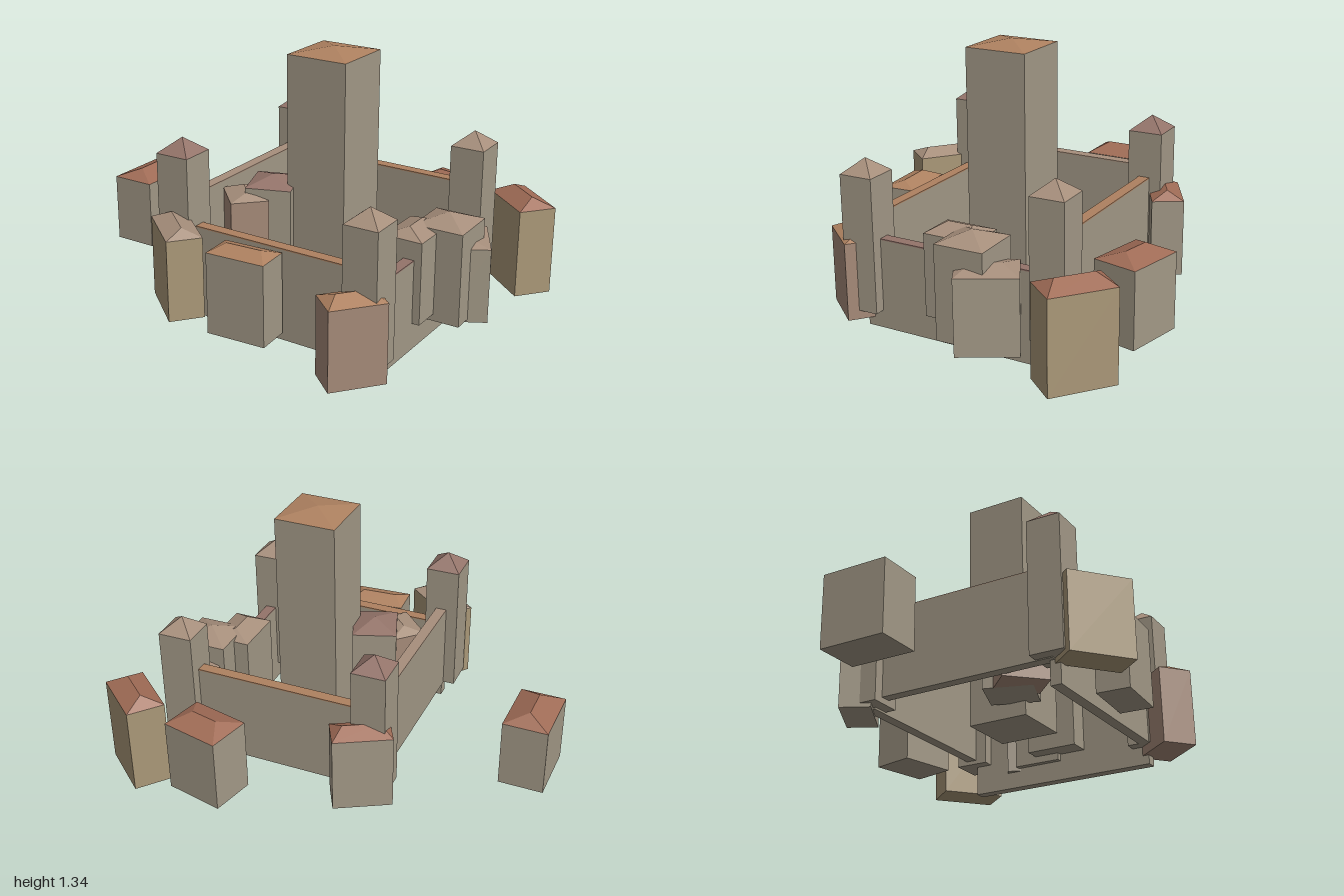
import * as THREE from 'three';

const mat = (color) => new THREE.MeshStandardMaterial({ color, flatShading: true });
const STONE = mat(0xa39987), TAN = mat(0xaa9878), PINK = mat(0xa58a78);
const ORANGE = mat(0xae8160), RED = mat(0xa06c56), MAUVE = mat(0x94746a), BEIGE = mat(0xa78f7c);

// Box narrowed to a ridge along its longer side (a point when ridge is 0)
function hipRoof(w, d, h, ridge) {
  const geo = new THREE.BoxGeometry(w, h, d).translate(0, h / 2, 0).toNonIndexed();
  const p = geo.attributes.position;
  for (let i = 0; i < p.count; i++) {
    if (p.getY(i) < h / 2) continue;
    p.setX(i, w > d ? Math.sign(p.getX(i)) * ridge / 2 : 0);
    p.setZ(i, w > d ? 0 : Math.sign(p.getZ(i)) * ridge / 2);
  }
  geo.computeVertexNormals();
  return geo;
}

// Block from base to eave with a hipped roof up to peak
function building(name, x, z, w, d, turn, base, eave, peak, wallMat, roofMat) {
  const g = new THREE.Group();
  g.name = name;
  g.position.set(x, 0, z);
  g.rotation.y = turn;
  const body = new THREE.Mesh(new THREE.BoxGeometry(w, eave - base, d), wallMat);
  body.name = name + 'Walls';
  body.position.y = (base + eave) / 2;
  const long = Math.max(w, d), short = Math.min(w, d);
  const ridge = long / short < 1.15 ? 0 : long - 0.7 * short;
  const roof = new THREE.Mesh(hipRoof(w, d, peak - eave, ridge), roofMat);
  roof.name = name + 'Roof';
  roof.position.y = eave;
  g.add(body, roof);
  return g;
}

// Straight wall between two tower centres, with a coloured top
function curtainWall(name, [x1, z1], [x2, z2], base, capMat) {
  const g = new THREE.Group();
  g.name = name;
  g.position.set((x1 + x2) / 2, base, (z1 + z2) / 2);
  g.rotation.y = Math.atan2(z1 - z2, x2 - x1);
  const len = Math.hypot(x2 - x1, z2 - z1), h = 0.45, cap = 0.006;
  const body = new THREE.Mesh(new THREE.BoxGeometry(len, h - cap, 0.055), STONE);
  body.name = name + 'Body';
  body.position.y = (h - cap) / 2;
  const top = new THREE.Mesh(new THREE.BoxGeometry(len, cap, 0.055), capMat);
  top.name = name + 'Top';
  top.position.y = h - cap / 2;
  g.add(body, top);
  return g;
}

export function createModel() {
  const model = new THREE.Group();
  model.name = 'castleTown';

  // Curtain walls, stepping with the ground
  const backRight = [-0.32, -0.345], backLeft = [0.655, -0.545];
  const frontLeft = [0.85, 0.43], frontRight = [-0.12, 0.63];
  model.add(
    curtainWall('frontWall', frontRight, frontLeft, 0.09, ORANGE),
    curtainWall('leftWall', frontLeft, backLeft, 0, MAUVE),
    curtainWall('backWall', backLeft, backRight, 0.17, ORANGE),
    curtainWall('rightWall', backRight, frontRight, 0.21, BEIGE),
  );

  // Corner towers
  const towers = [
    ['frontRightTower', frontRight, 0.215, MAUVE],
    ['backRightTower', backRight, 0.18, MAUVE],
    ['frontLeftTower', frontLeft, 0.09, BEIGE],
    ['backLeftTower', backLeft, 0.15, BEIGE],
  ];
  for (const [name, [x, z], base, roof] of towers)
    model.add(building(name, x, z, 0.17, 0.17, 0.22, base, base + 0.665, base + 0.735, STONE, roof));

  // Keep and houses: name, x, z, width, depth, turn, base, eave, peak
  const houses = [
    ['keep', 0.27, 0.04, 0.31, 0.31, 0.2, 0.13, 1.31, 1.34, STONE, ORANGE],
    ['outlyingHouse', -0.86, 0.23, 0.225, 0.32, 0.2, 0.14, 0.485, 0.53, STONE, RED],
    ['backHouse', 0.365, -0.757, 0.3, 0.225, -0.02, 0.13, 0.5, 0.54, STONE, RED],
    ['backCornerHouse', 0.8, -0.768, 0.32, 0.19, -0.49, 0.065, 0.51, 0.555, TAN, RED],
    ['backRightHouse', -0.31, -0.44, 0.285, 0.155, 0.707, 0.16, 0.54, 0.58, STONE, RED],
    ['leftOuterHouse', 0.815, -0.29, 0.29, 0.222, -0.865, 0.085, 0.455, 0.485, STONE, BEIGE],
    ['leftMiddleHouse', 0.795, -0.187, 0.25, 0.245, 0.22, 0.1, 0.56, 0.61, STONE, BEIGE],
    ['leftInnerHouse', 0.72, -0.04, 0.2, 0.265, 0.2, 0.135, 0.54, 0.58, STONE, BEIGE],
    ['frontLeftHouse', 0.845, 0.53, 0.27, 0.17, 1.08, 0.045, 0.43, 0.465, PINK, ORANGE],
    ['frontHouse', 0.325, 0.67, 0.295, 0.165, 0.27, 0.13, 0.525, 0.555, STONE, ORANGE],
    ['frontRightHouse', -0.013, 0.77, 0.32, 0.165, -0.48, 0.19, 0.58, 0.615, TAN, BEIGE],
    ['courtyardHouse', 0.055, 0.22, 0.22, 0.24, 0.55, 0.2, 0.67, 0.71, STONE, MAUVE],
    ['courtyardShed', -0.015, 0.34, 0.23, 0.18, -0.58, 0.2, 0.62, 0.65, PINK, BEIGE],
  ];
  for (const h of houses) model.add(building(...h));
  return model;
}
